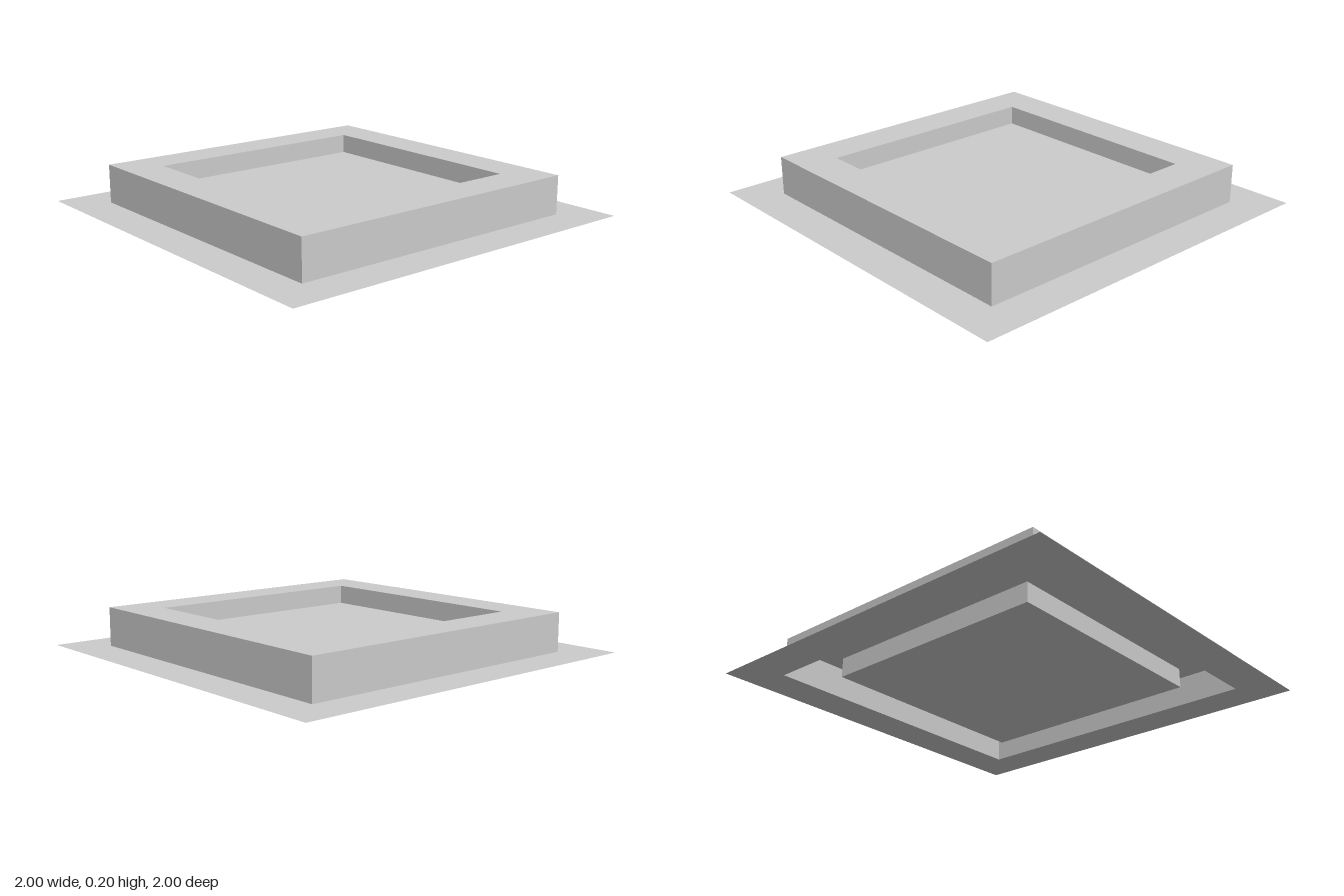
import * as THREE from 'three';

const material = new THREE.MeshStandardMaterial({
  color: 0xcccccc, flatShading: true, side: THREE.DoubleSide,
});

// Square outline with half-width r
function square(PathType, r) {
  return new PathType([[-r, -r], [r, -r], [r, r], [-r, r]].map(([x, y]) => new THREE.Vector2(x, y)));
}

// Horizontal square sheet at height y, with an optional square opening
function sheet(name, outer, inner, y) {
  const shape = square(THREE.Shape, outer);
  if (inner > 0) shape.holes.push(square(THREE.Path, inner));
  const geometry = new THREE.ShapeGeometry(shape).rotateX(-Math.PI / 2).translate(0, y, 0);
  const mesh = new THREE.Mesh(geometry, material);
  mesh.name = name;
  return mesh;
}

// Four upright walls around a square, open above and below
function walls(name, r, bottom, top) {
  const radius = r * Math.SQRT2;
  const geometry = new THREE.CylinderGeometry(radius, radius, top - bottom, 4, 1, true)
    .rotateY(Math.PI / 4)
    .translate(0, (bottom + top) / 2, 0);
  const mesh = new THREE.Mesh(geometry, material);
  mesh.name = name;
  return mesh;
}

export function createModel() {
  const model = new THREE.Group();
  model.name = 'squareTray';
  model.add(
    sheet('baseFlange', 1, 0.8, 0),
    walls('outerWalls', 0.8, 0, 0.2),
    sheet('topRim', 0.8, 0.6, 0.2),
    // The inner walls run from the rim, through the tray floor, to the bottom plate
    walls('innerWalls', 0.6, 0, 0.2),
    sheet('trayFloor', 0.7, 0, 0.1),
    sheet('bottomPlate', 0.6, 0, 0),
  );
  return model;
}
